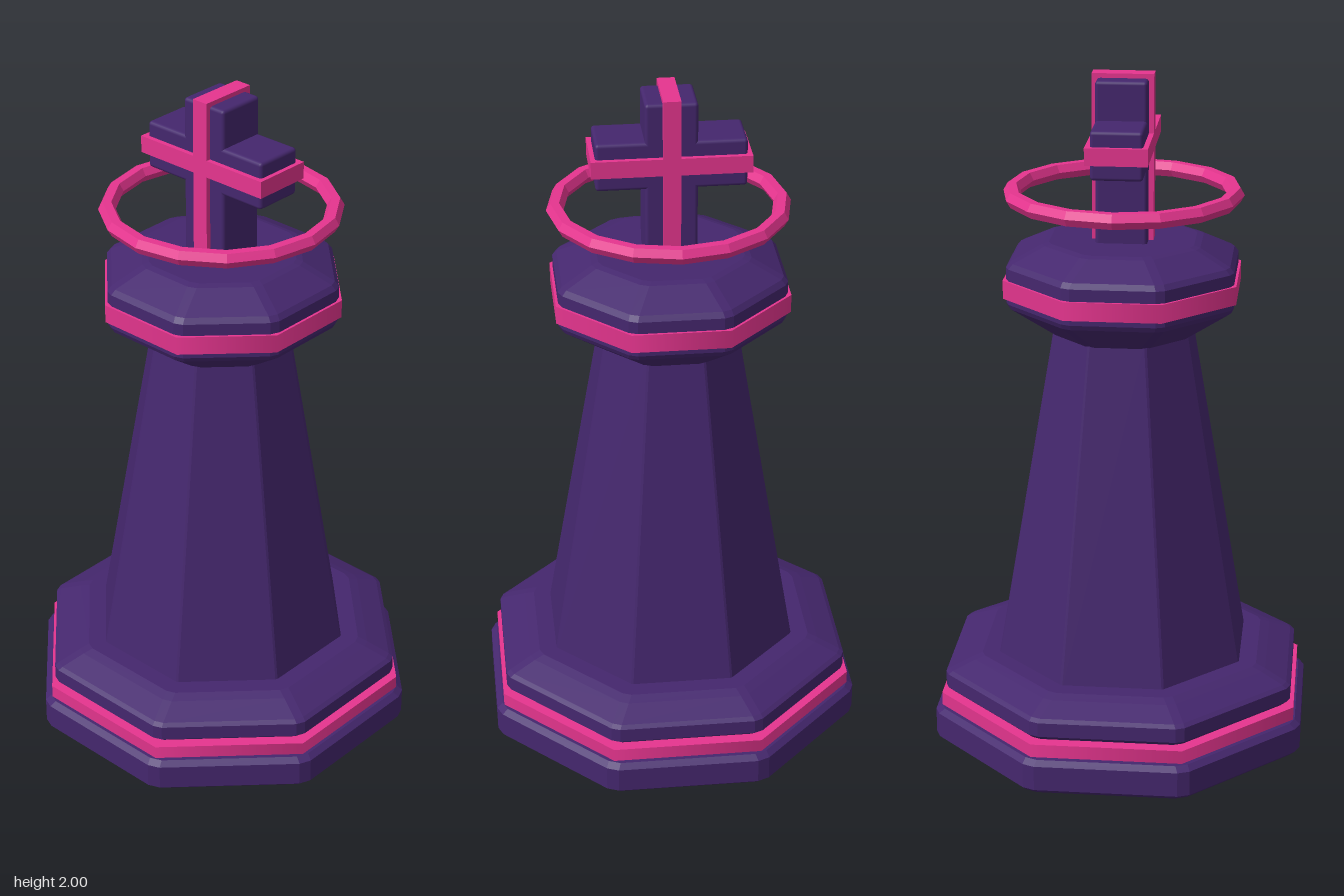
import * as THREE from 'three';
import { RoundedBoxGeometry } from 'three/addons/geometries/RoundedBoxGeometry.js';

const TURN = THREE.MathUtils.degToRad(7.5);
const CROSS_TURN = THREE.MathUtils.degToRad(-60);

// Closed octagonal solid lofted through [radius, y] rings; each corner is cut back by `cut`.
function octagonSolid(profile, cut) {
  const rings = profile.map(([r, y]) => {
    const corners = [];
    for (let i = 0; i < 8; i++) {
      const a = TURN + (i * Math.PI) / 4;
      corners.push(new THREE.Vector3(Math.sin(a) * r, y, Math.cos(a) * r));
    }
    const ring = [];
    corners.forEach((c, i) => {
      for (const n of [corners[(i + 7) % 8], corners[(i + 1) % 8]]) {
        ring.push(c.clone().lerp(n, cut / c.distanceTo(n)));
      }
    });
    return ring;
  });
  const pos = [];
  const tri = (...pts) => pts.forEach((p) => pos.push(p.x, p.y, p.z));
  const last = rings.length - 1;
  const bottom = new THREE.Vector3(0, profile[0][1], 0);
  const top = new THREE.Vector3(0, profile[last][1], 0);
  for (let i = 0; i < 16; i++) {
    const j = (i + 1) % 16;
    for (let k = 0; k < last; k++) {
      const [lo, hi] = [rings[k], rings[k + 1]];
      tri(lo[i], lo[j], hi[j]);
      tri(lo[i], hi[j], hi[i]);
    }
    tri(bottom, rings[0][j], rings[0][i]);
    tri(top, rings[last][i], rings[last][j]);
  }
  const g = new THREE.BufferGeometry();
  g.setAttribute('position', new THREE.Float32BufferAttribute(pos, 3));
  g.computeVertexNormals();
  return g;
}

export function createModel() {
  const group = new THREE.Group();
  group.name = 'chessKing';

  const purple = new THREE.MeshStandardMaterial({ color: 0x45276e });
  purple.name = 'deepPurple';
  const pink = new THREE.MeshStandardMaterial({ color: 0xe6358f });
  pink.name = 'hotPink';

  const add = (name, geometry, material, parent = group) => {
    const mesh = new THREE.Mesh(geometry, material);
    mesh.name = name;
    parent.add(mesh);
    return mesh;
  };

  // Stepped foot with chamfered rims
  add('base', octagonSolid([[0.575, 0], [0.593, 0.015], [0.593, 0.09], [0.575, 0.104]], 0.02), purple);
  add('baseBand', new THREE.CylinderGeometry(0.57, 0.57, 0.04, 8).rotateY(TURN).toNonIndexed(), pink)
    .position.y = 0.13;
  add('baseCore', octagonSolid([[0.53, 0.1], [0.53, 0.16]], 0.02), purple);
  add('plinth', octagonSolid([[0.54, 0.155], [0.558, 0.17], [0.558, 0.213], [0.545, 0.222],
    [0.475, 0.25], [0.445, 0.26]], 0.015), purple);

  // Tapering column and flared collar
  add('column', octagonSolid([[0.391, 0.25], [0.212, 1.26]], 0.004), purple);
  add('collar', octagonSolid([[0.205, 1.24], [0.345, 1.335], [0.353, 1.35], [0.353, 1.455],
    [0.34, 1.47], [0.245, 1.515], [0.225, 1.52]], 0.015), purple);
  add('collarBand', new THREE.CylinderGeometry(0.361, 0.361, 0.054, 8).rotateY(TURN).toNonIndexed(), pink)
    .position.y = 1.393;

  // Floating faceted halo
  const halo = new THREE.TorusGeometry(0.322, 0.025, 6, 16).rotateX(Math.PI / 2).rotateY(TURN).toNonIndexed();
  halo.computeVertexNormals();
  add('haloRing', halo, pink).position.y = 1.652;

  // Cross with strips wrapped round both arms
  const cross = new THREE.Group();
  cross.name = 'cross';
  cross.rotation.y = CROSS_TURN;
  group.add(cross);
  add('crossPost', new RoundedBoxGeometry(0.148, 0.49, 0.148, 2, 0.01), purple, cross).position.y = 1.742;
  add('crossArm', new RoundedBoxGeometry(0.424, 0.14, 0.148, 2, 0.01), purple, cross).position.y = 1.805;
  add('postStrip', new THREE.BoxGeometry(0.05, 0.5, 0.177), pink, cross).position.y = 1.75;
  add('armStrip', new THREE.BoxGeometry(0.45, 0.05, 0.177), pink, cross).position.y = 1.806;

  return group;
}
